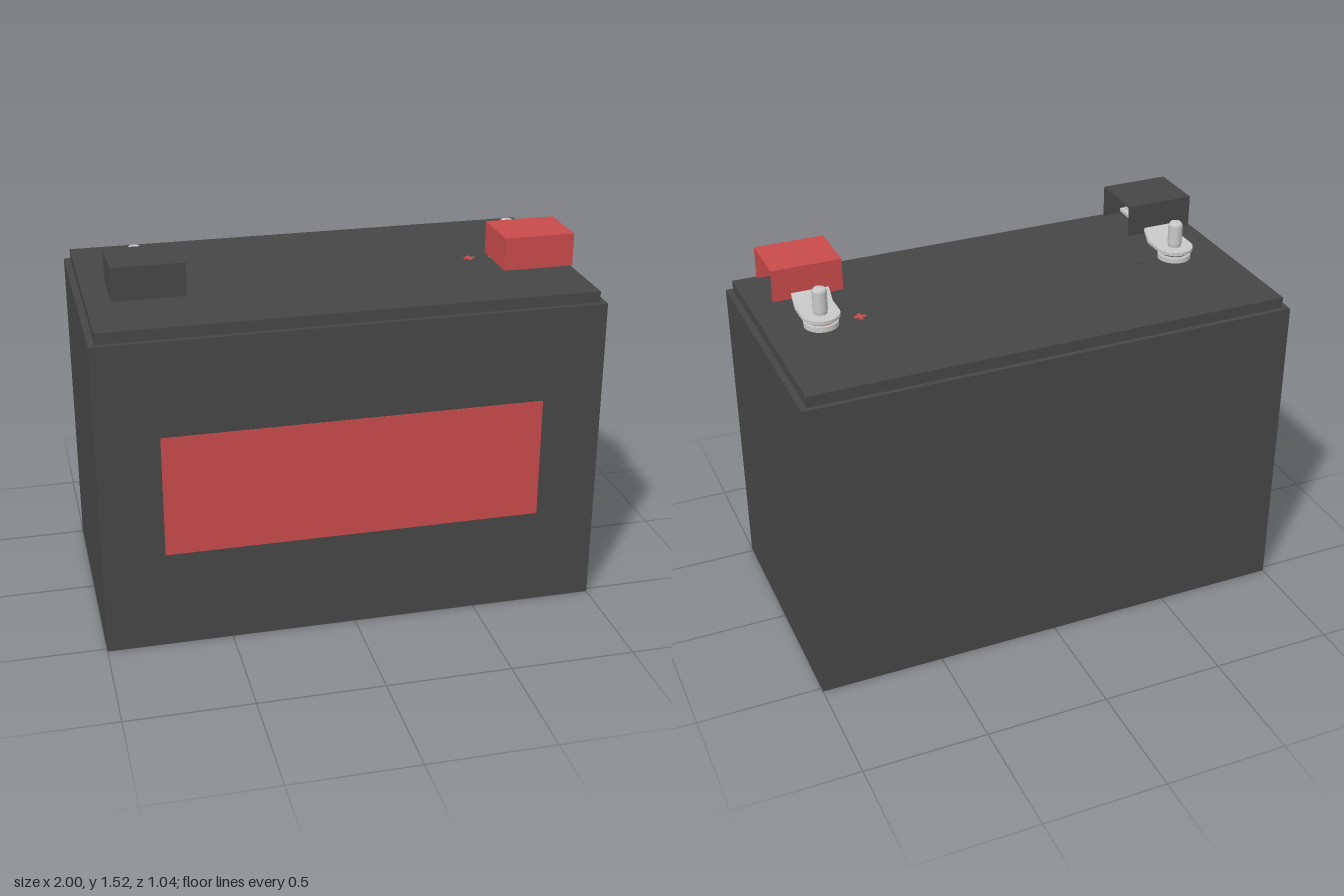
import * as THREE from 'three';

const mat = (name, color) => {
  const m = new THREE.MeshStandardMaterial({ color });
  m.name = name;
  return m;
};

export function createModel() {
  const casing = mat('charcoal plastic', 0x464646);
  const red = mat('red plastic', 0xc84a4a);
  const metal = mat('light metal', 0xc8c8c8);

  const add = (parent, name, geometry, material, x = 0, y = 0, z = 0) => {
    const mesh = new THREE.Mesh(geometry, material);
    mesh.name = name;
    mesh.position.set(x, y, z);
    parent.add(mesh);
    return mesh;
  };
  const box = (parent, name, material, [x0, x1], [y0, y1], [z0, z1]) =>
    add(parent, name, new THREE.BoxGeometry(x1 - x0, y1 - y0, z1 - z0), material,
      (x0 + x1) / 2, (y0 + y1) / 2, (z0 + z1) / 2);
  const disc = (parent, name, material, r, y0, y1, x = 0, z = 0) =>
    add(parent, name, new THREE.CylinderGeometry(r, r, y1 - y0, 32), material, x, (y0 + y1) / 2, z);

  const model = new THREE.Group();
  model.name = 'battery';

  // Case, lid and front label
  box(model, 'case', casing, [-1, 1], [0, 1.28], [-0.52, 0.52]);
  box(model, 'lid', casing, [-0.975, 0.975], [1.28, 1.325], [-0.5, 0.5]);
  box(model, 'frontLabel', red, [-0.755, 0.755], [0.4, 0.895], [0.52, 0.523]);

  // Bent strap profile, drawn in z and y and extruded across x
  const strapShape = new THREE.Shape([
    [0, 1.361], [0.09, 1.361], [0.13, 1.4], [0.35, 1.4],
    [0.35, 1.414], [0.124, 1.414], [0.084, 1.375], [0, 1.375],
  ].map(([z, y]) => new THREE.Vector2(z, y)));
  const strapGeometry = new THREE.ExtrudeGeometry(strapShape, { depth: 0.15, bevelEnabled: false });
  strapGeometry.translate(0, 0, -0.075).rotateY(-Math.PI / 2);

  // Threaded stud profile
  const studPoints = [new THREE.Vector2(0.026, 1.37)];
  for (let i = 0; i < 8; i++) {
    const y = 1.385 + i * 0.011;
    studPoints.push(new THREE.Vector2(0.026, y), new THREE.Vector2(0.03, y + 0.0055));
  }
  studPoints.push(new THREE.Vector2(0.026, 1.473), new THREE.Vector2(0.022, 1.48), new THREE.Vector2(0, 1.48));
  const studGeometry = new THREE.LatheGeometry(studPoints, 24);

  const buildTerminal = (name, x, color) => {
    const t = new THREE.Group();
    t.name = name;
    t.position.x = x;
    model.add(t);

    // Stacked base washers and stud
    disc(t, 'baseWasher', metal, 0.068, 1.325, 1.346);
    disc(t, 'baseCollar', metal, 0.058, 1.346, 1.351);
    disc(t, 'polarityRing', color, 0.06, 1.351, 1.357);
    disc(t, 'upperCollar', metal, 0.06, 1.357, 1.361);
    add(t, 'stud', studGeometry, metal);

    // Strap with a rounded end
    add(t, 'strap', strapGeometry, metal);
    add(t, 'strapEnd', new THREE.CylinderGeometry(0.075, 0.075, 0.014, 24, 1, false, Math.PI / 2, Math.PI),
      metal, 0, 1.368, 0);

    // Rivets through the strap
    for (const z of [0.328, 0.28, 0.232, 0.184]) {
      for (const rx of [-0.04, 0.04]) {
        disc(t, 'rivetHead', metal, 0.019, 1.414, 1.428, rx, z);
        disc(t, 'rivetTail', metal, 0.012, 1.385, 1.4, rx, z);
      }
    }

    // Cover, open below and on its left side
    const [x0, x1, y0, y1, z0, z1, w] = [-0.133, 0.148, 1.39, 1.52, 0.127, 0.36, 0.008];
    box(t, 'coverTop', color, [x0, x1], [y1 - w, y1], [z0, z1]);
    box(t, 'coverFront', color, [x0, x1], [y0, y1 - w], [z1 - w, z1]);
    box(t, 'coverBack', color, [x0, x1], [y0, y1 - w], [z0, z0 + w]);
    box(t, 'coverSide', color, [x0, x0 + w], [y0, y1 - w], [z0 + w, z1 - w]);
    return t;
  };
  buildTerminal('positiveTerminal', 0.76, red);
  buildTerminal('negativeTerminal', -0.76, casing);

  // Polarity marks on the lid
  box(model, 'plusBar', red, [0.582, 0.628], [1.325, 1.329], [-0.007, 0.007]);
  for (const s of [-1, 1]) {
    box(model, 'plusArm', red, [0.598, 0.612], [1.325, 1.329], s < 0 ? [-0.023, -0.007] : [0.007, 0.023]);
  }
  box(model, 'minusBar', casing, [-0.628, -0.582], [1.325, 1.329], [-0.007, 0.007]);

  return model;
}
